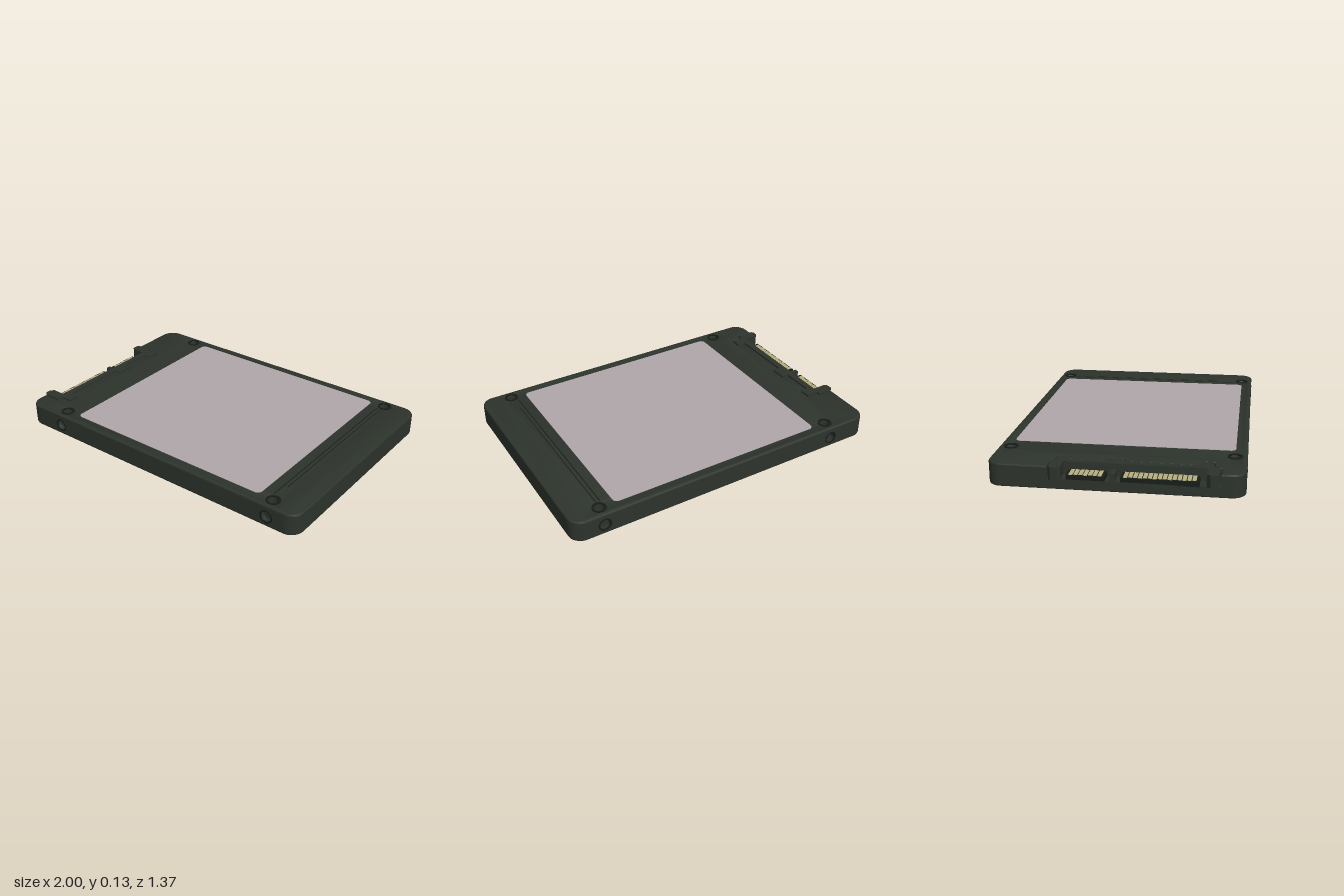
import * as THREE from 'three';
import { toCreasedNormals } from 'three/addons/utils/BufferGeometryUtils.js';

const mat = (name, color) => Object.assign(new THREE.MeshStandardMaterial({ color }), { name });
const caseMat = mat('dark case', 0x2d342c);
const edgeMat = mat('dark edge', 0x191d19);
const labelMat = mat('grey label', 0xb0a8aa);
const goldMat = mat('contact gold', 0xb8b082);

const L = -0.98, R = 1, D = 0.683, CORNER = 0.08;
const SCREW_X = [-0.71, 0.815], SCREW_Z = [-0.617, 0.617];

// Cutout for the connector as [x, z], running from the front to the back
const cutout = [
  [L, 0.553], [-0.88, 0.553], [-0.88, 0.535], [-0.86, 0.515], [-0.8, 0.515], [-0.8, 0.44],
  [-0.855, 0.44], [-0.855, 0.04], [-0.81, 0.04], [-0.81, -0.06], [-0.855, -0.06],
  [-0.855, -0.26], [-0.81, -0.26], [-0.81, -0.33], [-0.885, -0.33], [-0.885, -0.352], [L, -0.352],
];

function circlePath(x, y, r, Type = THREE.Path) {
  const p = new Type();
  p.absarc(x, y, r, 0, Math.PI * 2, false);
  return p;
}

function roundedRect(x0, z0, x1, z1, r) {
  const s = new THREE.Shape();
  s.absarc(x1 - r, z0 + r, r, -Math.PI / 2, 0, false);
  s.absarc(x1 - r, z1 - r, r, 0, Math.PI / 2, false);
  s.absarc(x0 + r, z1 - r, r, Math.PI / 2, Math.PI, false);
  s.absarc(x0 + r, z0 + r, r, Math.PI, Math.PI * 1.5, false);
  s.closePath();
  return s;
}

// Plan outline of the case, with optional pockets, cutout and screw holes
function caseOutline({ pockets, connector, holes }) {
  const s = new THREE.Shape();
  const q = Math.PI / 2;
  const pocketRow = (side) => {
    const xs = side < 0 ? SCREW_X : [...SCREW_X].reverse();
    for (const x of xs) {
      const w = -side * 0.06;
      s.lineTo(x - w, side * D);
      s.lineTo(x - w, side * (D - 0.03));
      s.lineTo(x + w, side * (D - 0.03));
      s.lineTo(x + w, side * D);
    }
  };
  s.moveTo(L + CORNER, -D);
  if (pockets) pocketRow(-1);
  s.absarc(R - CORNER, -D + CORNER, CORNER, -q, 0, false);
  s.absarc(R - CORNER, D - CORNER, CORNER, 0, q, false);
  if (pockets) pocketRow(1);
  s.absarc(L + CORNER, D - CORNER, CORNER, q, 2 * q, false);
  if (connector) cutout.forEach(([x, z]) => s.lineTo(x, z));
  s.absarc(L + CORNER, -D + CORNER, CORNER, 2 * q, 3 * q, false);
  if (holes) for (const x of SCREW_X) for (const z of SCREW_Z) s.holes.push(circlePath(x, z, 0.032));
  return s;
}

// Horizontal slab from a plan shape, between two heights
function slab(shape, y0, y1, bevel = 0) {
  const g = new THREE.ExtrudeGeometry(shape, {
    depth: y1 - y0 - 2 * bevel, curveSegments: 12, bevelEnabled: bevel > 0,
    bevelThickness: bevel, bevelSize: bevel, bevelOffset: -bevel, bevelSegments: 2,
  });
  g.rotateX(Math.PI / 2).translate(0, y1 - bevel, 0);
  return toCreasedNormals(g, 0.6);
}

export function createModel() {
  const model = new THREE.Group();
  model.name = 'solidStateDrive';
  const add = (name, geometry, material, parent = model) => {
    const m = new THREE.Mesh(geometry, material);
    m.name = name;
    parent.add(m);
    return m;
  };
  const box = (name, x0, x1, y0, y1, z0, z1, material, parent) =>
    add(name, new THREE.BoxGeometry(x1 - x0, y1 - y0, z1 - z0), material, parent)
      .position.set((x0 + x1) / 2, (y0 + y1) / 2, (z0 + z1) / 2);

  // Case in four layers
  add('bottomPlate', slab(caseOutline({}), 0, 0.022, 0.01), caseMat);
  add('lowerCase', slab(caseOutline({ pockets: true }), 0.01, 0.06), caseMat);
  add('upperCase', slab(caseOutline({ pockets: true, connector: true, holes: true }), 0.06, 0.119), caseMat);
  add('topCover', slab(caseOutline({ connector: true, holes: true }), 0.108, 0.13, 0.01), caseMat);

  // Label
  add('label', slab(roundedRect(-0.62, -0.622, 0.725, 0.617, 0.03), 0.127, 0.132), labelMat);

  // Raised rims of the top screw holes
  for (const x of SCREW_X) for (const z of SCREW_Z) {
    const rim = circlePath(x, z, 0.041, THREE.Shape);
    rim.holes.push(circlePath(x, z, 0.031));
    add('topScrewRim', slab(rim, 0.126, 0.134), edgeMat);
  }

  // Screw holes in the long sides
  const plate = new THREE.Shape([[-0.06, -0.052], [0.06, -0.052], [0.06, 0.057], [-0.06, 0.057]]
    .map(([x, y]) => new THREE.Vector2(x, y)));
  plate.holes.push(circlePath(0, 0, 0.032));
  const ring = circlePath(0, 0, 0.04, THREE.Shape);
  ring.holes.push(circlePath(0, 0, 0.031));
  const extrude = (s, depth) => toCreasedNormals(
    new THREE.ExtrudeGeometry(s, { depth, bevelEnabled: false, curveSegments: 16 }), 0.6);
  const plateGeo = extrude(plate, 0.03);
  const ringGeo = extrude(ring, 0.006).translate(0, 0, 0.0255);
  for (const side of [1, -1]) for (const x of SCREW_X) {
    const hole = new THREE.Group();
    hole.name = 'sideScrewHole';
    hole.position.set(x, 0.062, side * (D - 0.03));
    hole.rotation.y = side > 0 ? 0 : Math.PI;
    add('holePlate', plateGeo, caseMat, hole);
    add('holeRim', ringGeo, edgeMat, hole);
    model.add(hole);
  }

  // Seam lines near the plain end
  box('longSeam', 0.783, 0.789, 0.127, 0.1306, -0.57, 0.57, edgeMat);
  box('shortSeam', 0.808, 0.813, 0.127, 0.1306, -0.57, 0.47, edgeMat);

  // Connector frame with two prongs reaching past the case
  const connector = new THREE.Group();
  connector.name = 'connector';
  model.add(connector);
  const inner = cutout.slice(1, -1).map(([x, z]) => [x - 0.006, 0.1 + (z - 0.1) * 0.985]);
  const frame = [
    [-0.985, 0.545], [-1, 0.53], [-1, 0.5], [-0.98, 0.48], [-0.9, 0.48],
    [-0.9, -0.28], [-0.98, -0.28], [-1, -0.295], [-1, -0.33], [-0.985, -0.344],
    ...inner.reverse(),
  ].map(([x, z]) => new THREE.Vector2(x, z));
  add('connectorFrame', slab(new THREE.Shape(frame), 0.058, 0.13), caseMat, connector);

  // Contact tongues, the key between them and the gold contacts
  box('keyPost', -0.975, -0.89, 0.055, 0.1, -0.022, 0.005, caseMat, connector);
  const pitch = 0.0255;
  for (const [z0, count] of [[-0.237, 7], [0.05, 15]]) {
    const z1 = z0 + count * pitch;
    box('contactTongue', -0.98, -0.895, 0.055, 0.085, z0 - 0.015, z1 + 0.012, edgeMat, connector);
    for (let i = 0; i < count; i++) {
      const z = z0 + i * pitch;
      box('contact', i % 3 ? -0.972 : -0.978, -0.9, 0.083, 0.088, z, z + 0.021, goldMat, connector);
    }
  }
  return model;
}
